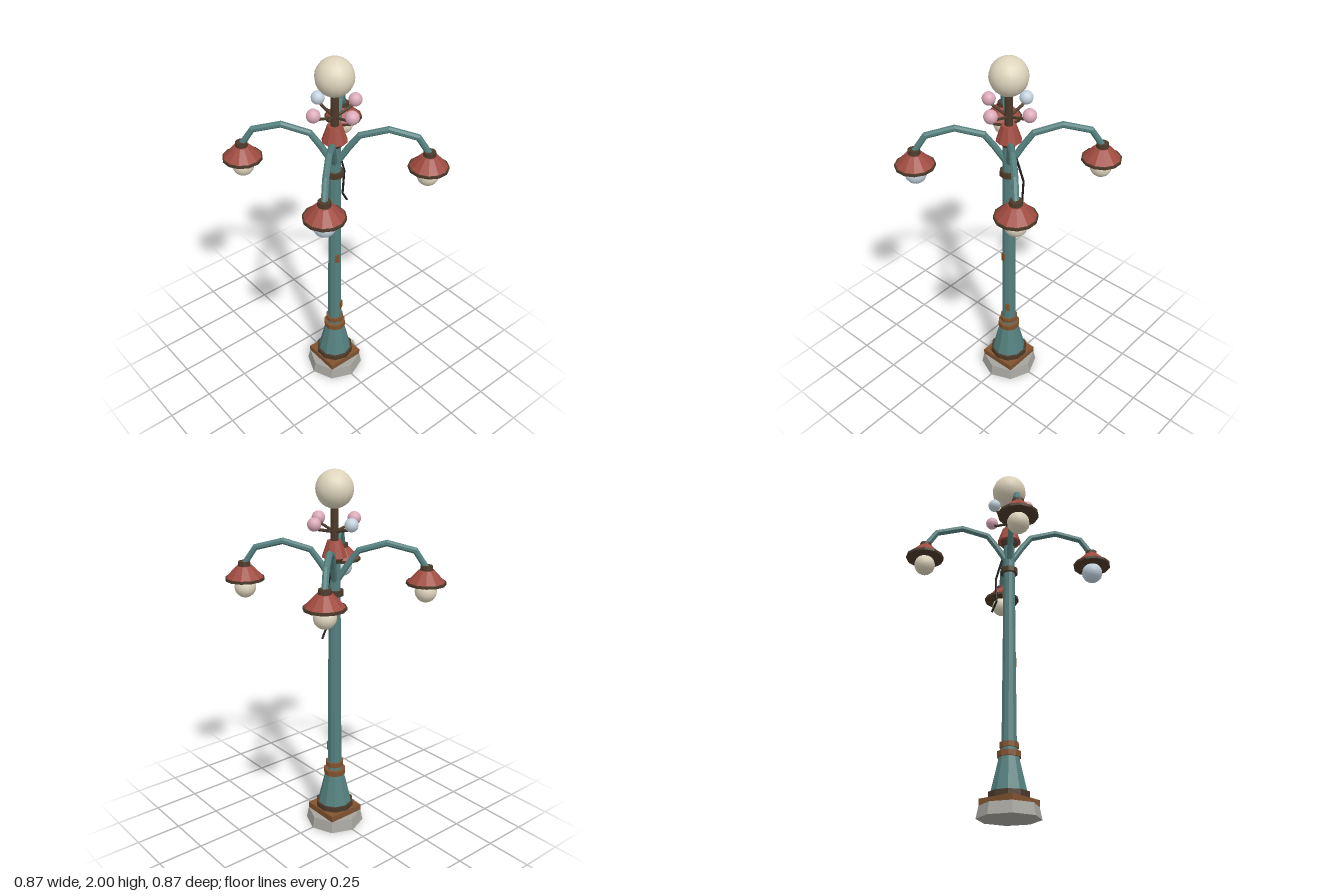
import * as THREE from 'three';

const mat = (name, color, flatShading = true) => {
  const m = new THREE.MeshStandardMaterial({ color, flatShading });
  m.name = name;
  return m;
};

export function createModel() {
  const root = new THREE.Group();
  root.name = 'streetLamp';
  const teal = mat('tealPaint', 0x54807e);
  const red = mat('redEnamel', 0xa04b40);
  const brown = mat('rustyBrown', 0x80532f);
  const dark = mat('darkBronze', 0x4d3a2a);
  const stone = mat('greyStone', 0xa5a49e);
  const cream = mat('creamGlass', 0xded4bc, false);
  const pink = mat('pinkGlass', 0xdba9b8, false);
  const blue = mat('paleBlueGlass', 0xc3d2de, false);
  const black = mat('blackCable', 0x1e1c1a);

  const add = (parent, name, geometry, material, x = 0, y = 0, z = 0) => {
    const m = new THREE.Mesh(geometry, material);
    m.name = name;
    m.position.set(x, y, z);
    parent.add(m);
    return m;
  };
  // Tapered round part spanning y0 to y1
  const turned = (parent, name, material, r0, r1, y0, y1, sides = 10) =>
    add(parent, name, new THREE.CylinderGeometry(r1, r0, y1 - y0, sides), material, 0, (y0 + y1) / 2, 0);
  const globe = (parent, name, material, r, x, y, z) =>
    add(parent, name, new THREE.SphereGeometry(r, 16, 12), material, x, y, z);
  // Angular pipe through points, with straight runs between bends
  const pipe = (parent, name, material, pts, r, sides) => {
    const path = new THREE.CurvePath();
    const v = pts.map(p => new THREE.Vector3(...p));
    for (let i = 1; i < v.length; i++) path.add(new THREE.LineCurve3(v[i - 1], v[i]));
    // Ring frames at the corners only
    const pos = [], idx = [];
    v.forEach((p, i) => {
      const a = v[Math.max(i - 1, 0)], b = v[Math.min(i + 1, v.length - 1)];
      const t = b.clone().sub(a).normalize();
      const side = new THREE.Vector3(0, 0, 1);
      side.addScaledVector(t, -side.dot(t)).normalize();
      const up = new THREE.Vector3().crossVectors(t, side);
      for (let k = 0; k < sides; k++) {
        const q = (k + 0.5) / sides * Math.PI * 2;
        const c = p.clone().addScaledVector(side, Math.cos(q) * r).addScaledVector(up, Math.sin(q) * r);
        pos.push(c.x, c.y, c.z);
        if (i) {
          const n = (k + 1) % sides, o = (i - 1) * sides, u = i * sides;
          idx.push(o + k, o + n, u + k, o + n, u + n, u + k);
        }
      }
    });
    const last = (v.length - 1) * sides;
    for (let k = 1; k < sides - 1; k++) idx.push(0, k + 1, k, last, last + k, last + k + 1);
    const g = new THREE.BufferGeometry();
    g.setAttribute('position', new THREE.Float32BufferAttribute(pos, 3));
    g.setIndex(idx);
    g.computeVertexNormals();
    return add(parent, name, g, material);
  };

  // Foot and post
  turned(root, 'stoneFoot', stone, 0.163, 0.15, 0, 0.063, 8);
  add(root, 'squarePlinth', new THREE.BoxGeometry(0.213, 0.034, 0.213), brown, 0, 0.08, 0);
  turned(root, 'lowerRing', dark, 0.107, 0.107, 0.1, 0.128);
  turned(root, 'plinthNeck', dark, 0.095, 0.095, 0.09, 0.105);
  turned(root, 'flaredBase', teal, 0.097, 0.051, 0.12, 0.315);
  turned(root, 'baseRing', brown, 0.062, 0.062, 0.305, 0.335);
  turned(root, 'neck', teal, 0.043, 0.042, 0.33, 0.36);
  turned(root, 'neckRing', brown, 0.05, 0.05, 0.354, 0.382);
  turned(root, 'shaft', teal, 0.04, 0.031, 0.375, 1.56);
  turned(root, 'upperRing', dark, 0.048, 0.048, 1.355, 1.385);

  // Crown and top light
  turned(root, 'crownUnderside', dark, 0.036, 0.05, 1.53, 1.56);
  turned(root, 'crown', red, 0.067, 0.038, 1.56, 1.645);
  turned(root, 'topStem', dark, 0.021, 0.021, 1.64, 1.83);
  globe(root, 'topGlobe', cream, 0.097, 0, 1.903, 0);

  // Rust patches on the shaft: angle around the post, height, radius, size
  [[-0.27, 0.828, 0.036, 0.022, 0.052], [0.5, 0.47, 0.0385, 0.025, 0.05], [Math.PI / 2 + 0.3, 1.24, 0.0325, 0.02, 0.05]]
    .forEach(([a, y, r, w, h]) => {
      add(root, 'rustPatch', new THREE.BoxGeometry(w, h, 0.008), brown,
        Math.sin(a) * r, y, Math.cos(a) * r).rotation.y = a;
    });

  // Four small globes on twigs around the stem
  for (let i = 0; i < 4; i++) {
    const g = new THREE.Group();
    g.name = 'smallLight';
    g.rotation.y = i * Math.PI / 2;
    root.add(g);
    pipe(g, 'smallArm', dark, [[0, 1.688, 0], [0.1, 1.712, 0], [0.125, 1.735, 0]], 0.008, 6);
    globe(g, 'smallGlobe', i === 1 ? blue : pink, 0.035, 0.131, 1.742, 0);
  }

  // Four curved arms with hanging lamps on the diagonals
  const reach = Math.SQRT2;
  const armPath = [[0.012, 1.44], [0.05, 1.525], [0.087, 1.595], [0.188, 1.636], [0.29, 1.6], [0.333, 1.51]];
  for (let i = 0; i < 4; i++) {
    const g = new THREE.Group();
    g.name = 'armWithLamp';
    g.rotation.y = Math.PI / 4 + i * Math.PI / 2;
    root.add(g);
    pipe(g, 'arm', teal, armPath.map(([x, y]) => [x * reach, y, 0]), 0.017, 8);
    const lamp = new THREE.Group();
    lamp.name = 'lamp';
    lamp.position.x = 0.333 * reach;
    g.add(lamp);
    turned(lamp, 'collar', dark, 0.034, 0.031, 1.495, 1.525, 12);
    turned(lamp, 'shade', red, 0.098, 0.04, 1.44, 1.502, 12);
    turned(lamp, 'shadeRim', dark, 0.104, 0.104, 1.427, 1.441, 12);
    globe(lamp, 'lampGlobe', i === 2 ? blue : cream, 0.057, 0, 1.388, 0);
  }

  // Loose hanging cable
  pipe(root, 'looseCable', black,
    [[0.025, 1.49, -0.008], [0.045, 1.45, -0.012], [0.081, 1.34, -0.02], [0.072, 1.2, -0.022], [0.104, 1.143, -0.024]], 0.006, 6);

  // Blue lamp belongs at the front on the model's right
  const arms = root.children.filter(c => c.name === 'armWithLamp');
  arms.forEach(a => {
    const d = new THREE.Vector3(1, 0, 0).applyEuler(a.rotation);
    const bulb = a.getObjectByName('lampGlobe');
    bulb.material = d.x < 0 && d.z > 0 ? blue : cream;
  });
  return root;
}
